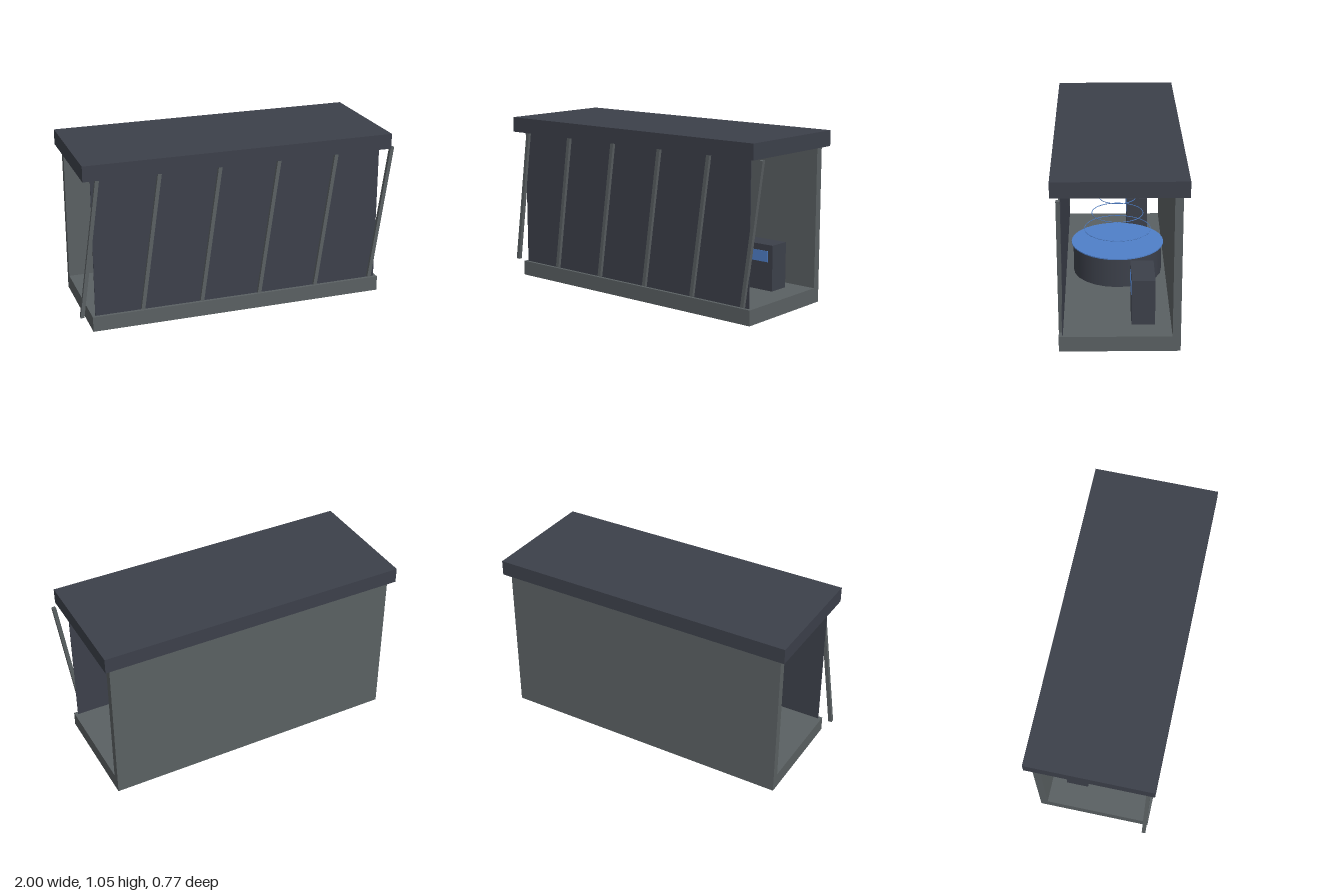
import * as THREE from 'three';

function flatMaterial(name, color, options = {}) {
  const material = new THREE.MeshStandardMaterial({ color, ...options });
  material.name = name;
  return material;
}

export function createModel() {
  const model = new THREE.Group();
  model.name = 'openPavilion';

  const grey = flatMaterial('concreteGrey', 0x5a6062);
  const dark = flatMaterial('darkSlate', 0x3c404a);
  const blue = flatMaterial('displayBlue', 0x4f7fc8);

  const add = (parent, name, geometry, material, x, y, z) => {
    const mesh = new THREE.Mesh(geometry, material);
    mesh.name = name;
    mesh.position.set(x, y, z);
    parent.add(mesh);
    return mesh;
  };
  // Box given by its lower and upper limits on each axis
  const box = (parent, name, material, [x0, x1], [y0, y1], [z0, z1]) =>
    add(parent, name, new THREE.BoxGeometry(x1 - x0, y1 - y0, z1 - z0), material,
      (x0 + x1) / 2, (y0 + y1) / 2, (z0 + z1) / 2);

  // Shell: floor slab, back wall, overhanging roof and thin front panel
  const floorY = 0.093;
  const roofY = 0.953;
  box(model, 'floorSlab', grey, [-0.926, 0.926], [0, floorY], [-0.348, 0.348]);
  box(model, 'backWall', grey, [-0.926, 0.926], [floorY, roofY], [-0.348, -0.301]);
  box(model, 'roof', dark, [-0.962, 0.962], [roofY, 1.047], [-0.383, 0.383]);
  box(model, 'frontPanel', dark, [-0.907, 0.907], [floorY, roofY], [0.3245, 0.329]);

  // Six slanted fins across the front
  const fins = new THREE.Group();
  fins.name = 'frontFins';
  model.add(fins);
  const finGeometry = new THREE.BoxGeometry(0.023, 0.86, 0.023);
  for (let i = 0; i < 6; i++) {
    const fin = add(fins, 'frontFin', finGeometry, grey, -0.9286 + i * 0.37144, 0.525, 0.3365);
    fin.rotation.z = -0.14;
  }

  // Round table with a glowing top and floating rings
  const table = new THREE.Group();
  table.name = 'displayTable';
  model.add(table);
  add(table, 'tableBase', new THREE.CylinderGeometry(0.278, 0.278, 0.188, 24), dark, 0, 0.187, 0);
  add(table, 'tableTop', new THREE.CylinderGeometry(0.29, 0.29, 0.007, 32), blue, 0, 0.2845, 0);
  [[0.208, 0.372], [0.161, 0.478], [0.114, 0.583]].forEach(([radius, y]) => {
    const ring = add(table, 'floatingRing', new THREE.TorusGeometry(radius, 0.0023, 6, 40), blue, 0, y, 0);
    ring.rotation.x = Math.PI / 2;
  });

  // Consoles with front screens, one near each end
  for (const side of [-1, 1]) {
    const consoleUnit = new THREE.Group();
    consoleUnit.name = side > 0 ? 'leftConsole' : 'rightConsole';
    consoleUnit.position.x = side * 0.64;
    model.add(consoleUnit);
    box(consoleUnit, 'consoleBody', dark, [-0.14, 0.14], [floorY, 0.373], [-0.207, -0.07]);
    box(consoleUnit, 'consoleScreen', blue, [-0.107, 0.107], [0.268, 0.335], [-0.07, -0.067]);
  }

  return model;
}
